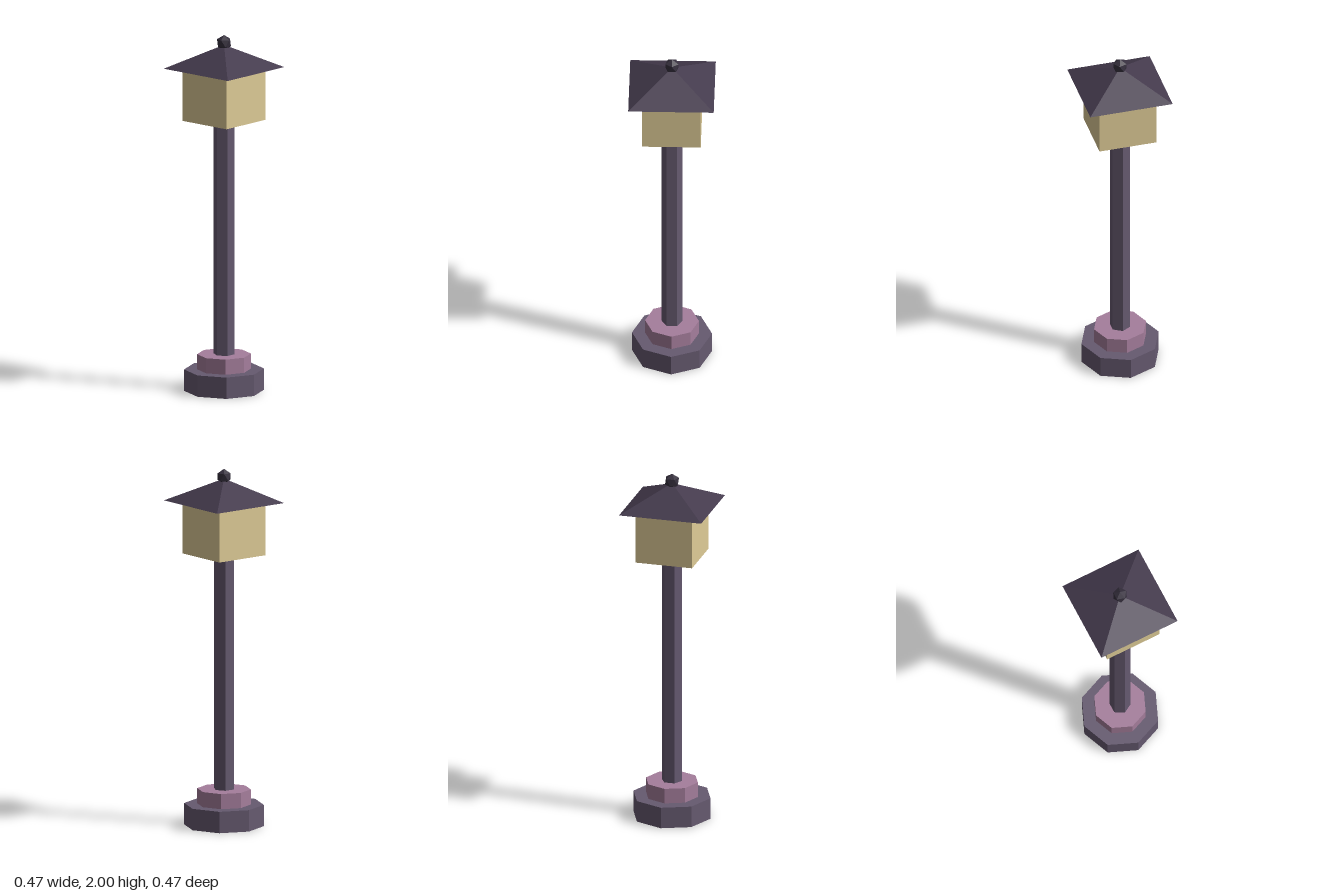
import * as THREE from 'three';

export function createModel() {
  const model = new THREE.Group();
  model.name = 'lampPost';

  const add = (name, geometry, color, y) => {
    const material = new THREE.MeshStandardMaterial({ color, flatShading: true });
    const mesh = new THREE.Mesh(geometry, material);
    mesh.name = name;
    mesh.position.y = y;
    model.add(mesh);
  };

  // A prism standing between two heights
  const prism = (name, radius, y0, y1, sides, color) =>
    add(name, new THREE.CylinderGeometry(radius, radius, y1 - y0, sides), color, (y0 + y1) / 2);

  // Stepped octagonal foot and hexagonal pole
  prism('base', 0.22, 0, 0.12, 8, 0x665a70);
  prism('collar', 0.148, 0.12, 0.205, 8, 0xa57e9c);
  prism('pole', 0.058, 0.205, 1.52, 6, 0x665a70);

  // Square lantern box
  add('lantern', new THREE.BoxGeometry(0.324, 0.297, 0.324), 0xdfcc97, 1.6685);

  // Pyramid roof, sides facing the axes
  const roof = new THREE.ConeGeometry(0.235 * Math.SQRT2, 0.13, 4);
  roof.rotateY(Math.PI / 4);
  add('roof', roof, 0x443a4d, 1.88);

  // Faceted finial, turned so that one corner points straight up
  const finial = new THREE.IcosahedronGeometry(0.043, 0);
  finial.rotateZ(-Math.atan(2 / (1 + Math.sqrt(5))));
  add('finial', finial, 0x36303e, 1.957);

  return model;
}
